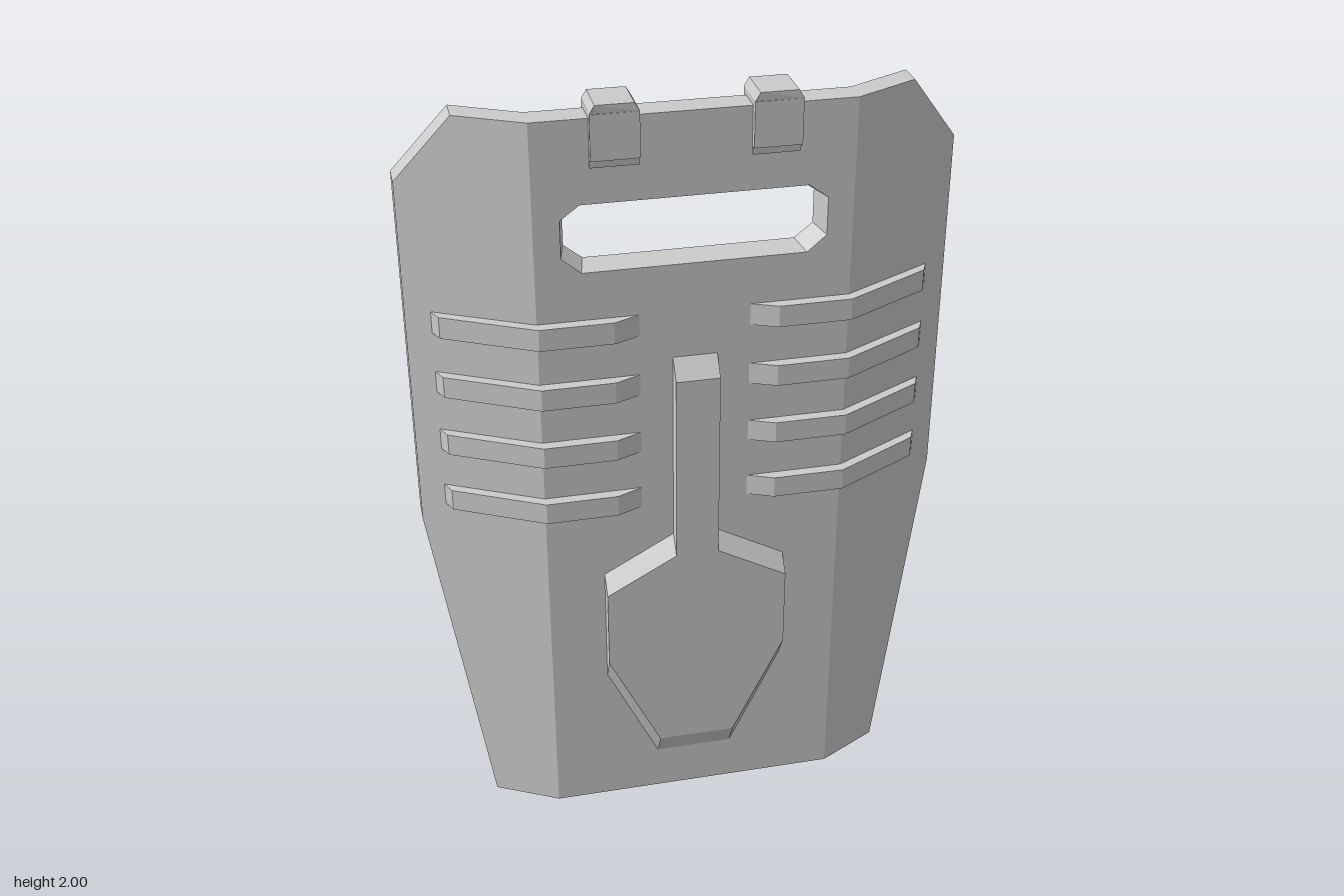
import * as THREE from 'three';

const FRONT = 0.148, BACK = 0.08, FOLD = 0.38, SLOPE = 0.52;

const material = new THREE.MeshStandardMaterial({ color: 0xcccccc, flatShading: true });

function toShape(points) {
  return new THREE.Shape(points.map(([x, y]) => new THREE.Vector2(x, y)));
}

function extrude(shape, depth) {
  return new THREE.ExtrudeGeometry(shape, { depth, bevelEnabled: false });
}

// Move every vertex by a rule, then refresh the flat normals
function reshape(geometry, rule) {
  const pos = geometry.attributes.position;
  const v = new THREE.Vector3();
  for (let i = 0; i < pos.count; i++) {
    rule(v.fromBufferAttribute(pos, i));
    pos.setXYZ(i, v.x, v.y, v.z);
  }
  geometry.computeVertexNormals();
  return geometry;
}

// Extrude a [z, y] profile sideways, centred on x
function sideProfile(points, width, x) {
  return extrude(toShape(points), width)
    .translate(0, 0, -width / 2).rotateY(-Math.PI / 2).translate(x, 0, 0);
}

export function createModel() {
  const group = new THREE.Group();
  const add = (name, geometry) => {
    const mesh = new THREE.Mesh(geometry, material);
    mesh.name = name;
    group.add(mesh);
  };

  // Centre panel with a viewing slot that narrows toward the back
  const panel = toShape([[-FOLD, 0], [FOLD, 0], [FOLD, 1.965], [-FOLD, 1.965]]);
  panel.holes.push(toShape([
    [-0.317, 1.63], [-0.317, 1.725], [-0.27, 1.76], [0.27, 1.76],
    [0.317, 1.725], [0.317, 1.63], [0.27, 1.59], [-0.27, 1.59],
  ]));
  add('centrePanel', reshape(extrude(panel, FRONT - BACK).translate(0, 0, BACK), (v) => {
    const inSlot = Math.abs(v.x) < 0.35 && v.y > 1.5 && v.y < 1.8;
    if (inSlot && v.z < BACK + 0.01) {
      v.x *= 0.95;
      v.y = 1.675 + (v.y - 1.675) * 0.9;
    }
  }));

  // Shovel-shaped relief: the front face is shifted in y to slope its ends
  const half = [[0.1, 0.125], [0.235, 0.41], [0.235, 0.735], [0.055, 0.835], [0.055, 1.345]];
  const faceY = [0.195, 0.475, 0.69, 0.79, 1.295];
  const relief = toShape([...half, ...half.map(([x, y]) => [-x, y]).reverse()]);
  add('frontRelief', reshape(extrude(relief, 0.037).translate(0, 0, FRONT), (v) => {
    if (v.z > FRONT + 0.01) {
      v.y = faceY[half.findIndex(([, y]) => Math.abs(y - v.y) < 0.001)];
    }
  }));

  for (const side of [1, -1]) {
    const label = side > 0 ? 'left' : 'right';

    // Swept-back wing, sheared from a flat panel
    const wing = toShape([
      [FOLD, 0], [0.54, 0], [0.675, 0.87], [0.675, 1.79], [0.54, 1.965], [FOLD, 1.965],
    ].map(([x, y]) => [side * x, y]));
    add(label + 'Wing', reshape(extrude(wing, FRONT - BACK).translate(0, 0, BACK), (v) => {
      v.z -= (Math.abs(v.x) - FOLD) * SLOPE;
    }));

    // Ribs that follow the fold
    const rib = toShape([
      [0.135, FRONT], [0.2, 0.176], [FOLD, 0.176], [0.6, 0.06], [0.615, 0.026],
      [0.6, 0.024], [FOLD, 0.138], [0.135, 0.138],
    ].map(([x, z]) => [side * x, z]));
    for (let i = 0; i < 4; i++) {
      add(label + 'Rib' + (i + 1),
        extrude(rib, 0.056).rotateX(Math.PI / 2).translate(0, 1.468 - i * 0.161, 0));
    }

    // Clip over the top edge, chamfered on its upper corners and flap ends
    const clip = toShape([
      [-0.057, 1.848], [0.057, 1.848], [0.057, 1.98], [0.045, 2], [-0.045, 2], [-0.057, 1.98],
    ]);
    const clipGeometry = reshape(extrude(clip, 0.105), (v) => {
      if (v.y < 1.9) v.z = v.z > 0.05 ? 0.09 : 0.015;
    });
    // Straight upper part of the flaps above the sloped ends
    const flap = new THREE.BoxGeometry(0.114, 0.11, 0.105).translate(0, 1.924, 0.0525);
    add(label + 'Clip', clipGeometry.translate(side * 0.188, 0, 0.061));
    add(label + 'ClipFlaps', flap.translate(side * 0.188, 0, 0.061));

    // Handle base with raised pads at both ends
    add(label + 'HandleBase', sideProfile([
      [0.09, 1.43], [0.058, 1.43], [0.036, 1.405], [0.036, 1.33], [0.058, 1.305],
      [0.058, 1.105], [0.036, 1.08], [0.036, 1.005], [0.058, 0.98], [0.09, 0.98],
    ], 0.09, side * 0.135));

    // Grip bar
    add(label + 'Handle', sideProfile([
      [0.05, 1.39], [-0.145, 1.39], [-0.184, 1.335], [-0.184, 1.06], [-0.145, 1.018],
      [0.05, 1.018], [0.05, 1.036], [-0.138, 1.036], [-0.168, 1.068], [-0.168, 1.328],
      [-0.138, 1.372], [0.05, 1.372],
    ], 0.054, side * 0.135));

    // Long stiffener with a raised head and tapered foot
    add(label + 'Stiffener', sideProfile([
      [0.09, 1.01], [0.058, 1.01], [0.03, 0.975], [0.03, 0.9], [0.05, 0.87],
      [0.05, 0.2], [0.075, 0.03], [0.09, 0.03],
    ], 0.054, side * 0.278));
  }

  return group;
}
